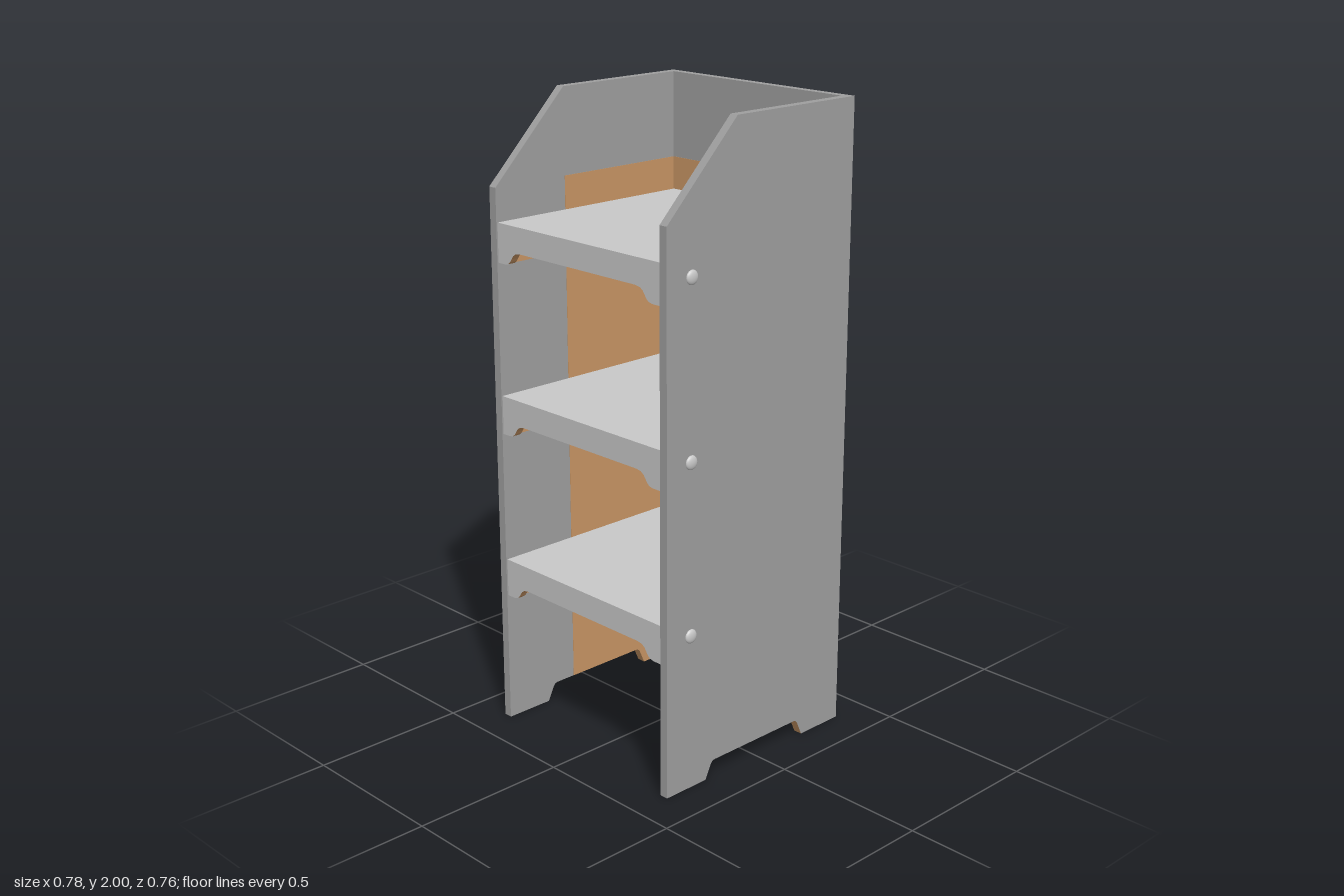
import * as THREE from 'three';

const material = (name, color) => {
  const m = new THREE.MeshStandardMaterial({ color });
  m.name = name;
  return m;
};

export function createModel() {
  const grey = material('panel grey', 0x9f9f9f);
  const light = material('shelf light grey', 0xc8c8c8);
  const wood = material('raw wood', 0xc89564);
  const model = new THREE.Group();
  model.name = 'shelfUnit';

  const add = (parent, name, geometry, mat) => {
    const mesh = new THREE.Mesh(geometry, mat);
    mesh.name = name;
    parent.add(mesh);
    return mesh;
  };

  // Split faces between two materials: rule(normal, centre) true gives the second
  const paint = (geometry, rule) => {
    const g = geometry.index ? geometry.toNonIndexed() : geometry;
    const p = g.attributes.position;
    const tri = new THREE.Triangle(), n = new THREE.Vector3(), c = new THREE.Vector3();
    g.clearGroups();
    let start = 0, last = null;
    for (let i = 0; i < p.count; i += 3) {
      tri.setFromAttributeAndIndices(p, i, i + 1, i + 2);
      const k = rule(tri.getNormal(n), tri.getMidpoint(c)) ? 1 : 0;
      if (last !== null && k !== last) {
        g.addGroup(start, i - start, last);
        start = i;
      }
      last = k;
    }
    g.addGroup(start, p.count - start, last);
    return g;
  };

  const extrude = (shape, depth) =>
    new THREE.ExtrudeGeometry(shape, { depth, bevelEnabled: false, curveSegments: 6 });

  // Profile drawn in (z, y), extruded from x0 to x0 + thickness
  const sidePlate = (shape, x0, thickness) =>
    extrude(shape, thickness).rotateY(-Math.PI / 2).translate(x0 + thickness, 0, 0);

  const FRONT = 0.381, BACK = -0.375, INNER = 0.35, OUTER = 0.378, T = 0.026;

  // Side panel outline with sloped top and foot cut-out
  const side = new THREE.Shape();
  side.moveTo(BACK, 0);
  side.lineTo(-0.208, 0);
  side.lineTo(-0.188, 0.045);
  side.quadraticCurveTo(-0.182, 0.056, -0.17, 0.056);
  side.lineTo(0.18, 0.056);
  side.quadraticCurveTo(0.192, 0.056, 0.198, 0.045);
  side.lineTo(0.22, 0);
  side.lineTo(FRONT, 0);
  side.lineTo(FRONT, 1.73);
  side.lineTo(0.111, 2);
  side.lineTo(BACK, 2);

  // Unpainted area on the inner face
  const bare = new THREE.Shape();
  bare.moveTo(BACK + T, 0);
  bare.lineTo(-0.208, 0);
  bare.lineTo(-0.188, 0.045);
  bare.quadraticCurveTo(-0.182, 0.056, -0.17, 0.056);
  bare.lineTo(0.111, 0.056);
  bare.lineTo(0.111, 1.73);
  bare.lineTo(BACK + T, 1.73);

  const isFoot = (n, c) => Math.abs(n.x) < 0.5 && c.y < 0.06;
  for (const s of [1, -1]) {
    const label = s > 0 ? 'left' : 'right';
    add(model, label + 'SidePanel',
      paint(sidePlate(side, s > 0 ? INNER : -OUTER, OUTER - INNER), isFoot), [grey, wood]);
    add(model, label + 'InnerFace', sidePlate(bare, s > 0 ? INNER - 0.001 : -INNER - 0.001, 0.002), wood);
  }

  // Back panel with bare lower inner face
  add(model, 'backPanel',
    paint(new THREE.BoxGeometry(INNER * 2, 2, T).translate(0, 1, BACK + T / 2), (n) => n.y < -0.5), [grey, wood]);
  add(model, 'backInnerFace',
    new THREE.BoxGeometry(INNER * 2, 1.73, 0.002).translate(0, 0.865, BACK + T), wood);

  // Shelf apron: shallow in the middle, deeper at both ends
  const W = 0.348, DROP = -0.122, WEB = -0.08;
  const apron = new THREE.Shape();
  apron.moveTo(-W, 0);
  apron.lineTo(-W, DROP);
  apron.lineTo(-0.318, DROP);
  apron.bezierCurveTo(-0.28, DROP, -0.296, WEB, -0.25, WEB);
  apron.lineTo(0.25, WEB);
  apron.bezierCurveTo(0.296, WEB, 0.28, DROP, 0.318, DROP);
  apron.lineTo(W, DROP);
  apron.lineTo(W, 0);

  // Side rail under the shelf, deeper at the bolted front corner
  const Z1 = 0.378, Z0 = BACK + T;
  const rail = new THREE.Shape();
  rail.moveTo(Z0, 0);
  rail.lineTo(Z0, WEB);
  rail.lineTo(0.2, WEB);
  rail.bezierCurveTo(0.24, WEB, 0.23, DROP, 0.262, DROP);
  rail.lineTo(Z1 - T, DROP);
  rail.lineTo(Z1 - T, 0);

  const painted = (n) => n.z > 0.5 || n.y > 0.5;
  const dome = new THREE.SphereGeometry(0.022, 20, 8, 0, Math.PI * 2, 0, Math.PI / 2).scale(1, 0.46, 1);

  [0.549, 1.087, 1.626].forEach((top, i) => {
    const shelf = new THREE.Group();
    shelf.name = 'shelf' + (i + 1);
    shelf.position.y = top;
    model.add(shelf);

    add(shelf, 'deck',
      paint(new THREE.BoxGeometry(W * 2, T, Z1 - T - Z0).translate(0, -T / 2, (Z0 + Z1 - T) / 2), painted),
      [wood, light]);
    add(shelf, 'apron', paint(extrude(apron, T).translate(0, 0, Z1 - T), painted), [wood, light]);

    for (const s of [1, -1]) {
      add(shelf, 'sideRail', sidePlate(rail, s > 0 ? W - T : -W, T).translate(0, -0.001, 0), wood);

      // Tab passing through the back panel
      add(shelf, 'backTab',
        paint(new THREE.BoxGeometry(0.134, 0.011, 0.044).translate(s * 0.146, 0, -0.361), (n) => n.y > 0.5),
        [wood, light]);

      // Domed bolt head on the outside
      const bolt = add(shelf, 'boltHead', dome, light);
      bolt.position.set(s * OUTER, -0.052, 0.285);
      bolt.rotation.z = -s * Math.PI / 2;
    }
  });

  return model;
}
